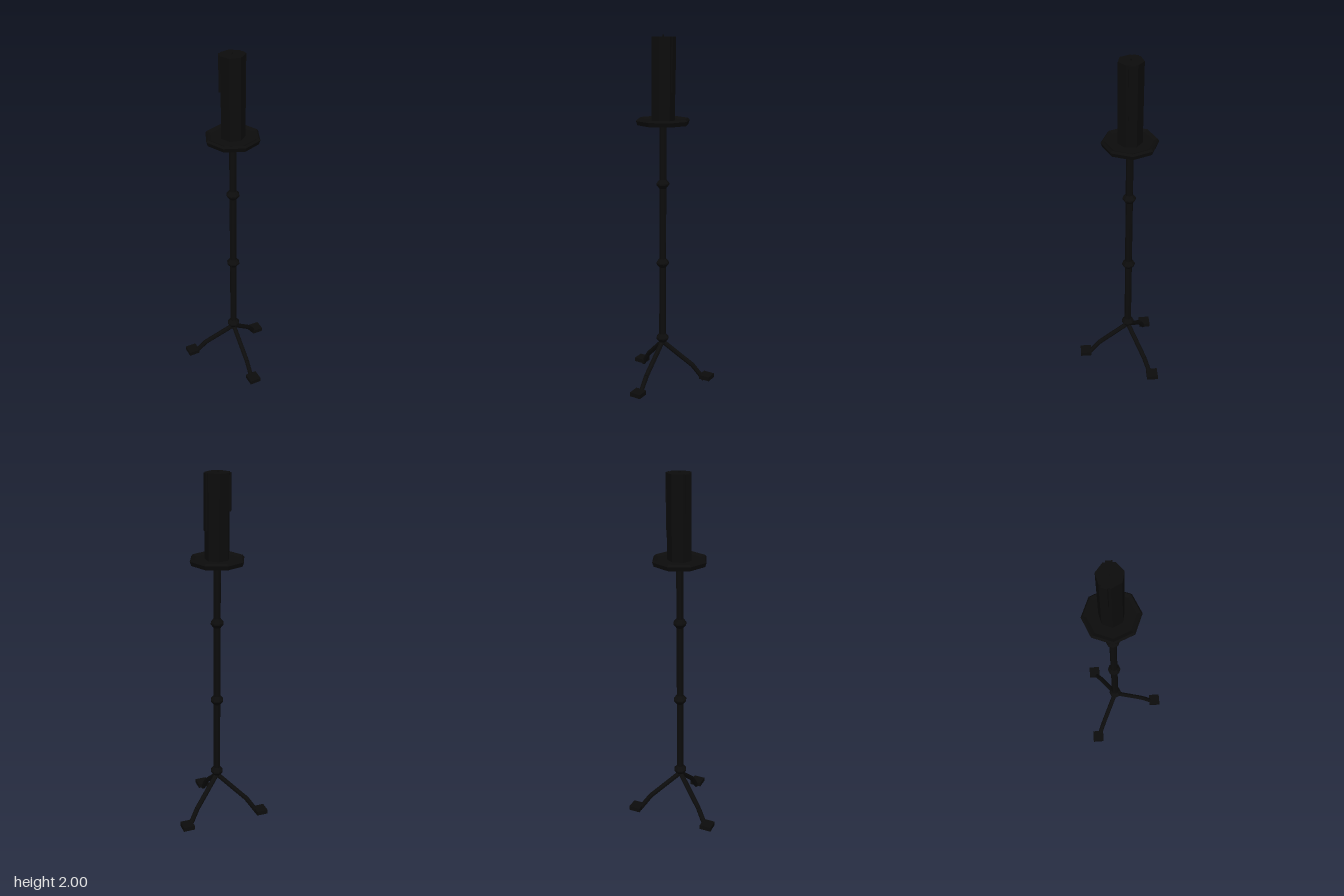
import * as THREE from 'three';

export function createModel() {
  const group = new THREE.Group();
  group.name = 'candleStand';
  const black = new THREE.MeshStandardMaterial({ color: 0x0c0c0c, flatShading: true });
  black.name = 'black';
  const axisZ = -0.067; // the pole stands behind the centre of the bounds

  const add = (name, geometry, x, y, z) => {
    const mesh = new THREE.Mesh(geometry, black);
    mesh.name = name;
    mesh.position.set(x, y, z);
    group.add(mesh);
    return mesh;
  };
  const lathe = (points, sides) =>
    new THREE.LatheGeometry(points.map(([r, y]) => new THREE.Vector2(r, y)), sides);
  const strut = (name, a, b, r) => {
    const dir = b.clone().sub(a);
    const mid = a.clone().add(b).multiplyScalar(0.5);
    const mesh = add(name, new THREE.CylinderGeometry(r, r, dir.length(), 8), mid.x, mid.y, mid.z);
    mesh.quaternion.setFromUnitVectors(new THREE.Vector3(0, 1, 0), dir.normalize());
  };

  // Pole with three faceted knobs
  add('pole', new THREE.CylinderGeometry(0.02, 0.02, 1.29, 8), 0, 0.885, axisZ);
  const knob = lathe([[0, -0.028], [0.018, -0.028], [0.037, -0.004], [0.037, 0.004], [0.018, 0.028], [0, 0.028]], 8);
  for (const y of [0.275, 0.735, 1.195]) add('knob', knob, 0, y, axisZ);

  // Three bent legs on square feet
  for (const [fx, fz] of [[0, 0.197], [0.227, -0.198], [-0.227, -0.198]]) {
    const dir = new THREE.Vector3(fx, 0, fz - axisZ).normalize();
    const at = (r, y) => new THREE.Vector3(dir.x * r, y, axisZ + dir.z * r);
    const path = [at(0, 0.25), at(0.178, 0.1), at(0.246, 0.011)];
    strut('upperLeg', path[0], path[1], 0.014);
    strut('lowerLeg', path[1], path[2], 0.014);
    add('foot', new THREE.BoxGeometry(0.066, 0.025, 0.066), fx, 0.03, fz);
  }

  // Octagonal drip tray with a raised rim
  add('tray', lathe([[0, 1.525], [0.143, 1.525], [0.151, 1.548], [0.142, 1.559], [0.122, 1.55], [0, 1.547]], 8), 0, 0, axisZ);

  // Seven-sided candle with a corner towards -x, and its wick
  add('candle', new THREE.CylinderGeometry(0.066, 0.066, 0.45, 7, 1, false, -Math.PI / 2), 0, 1.767, axisZ);
  add('wick', new THREE.CylinderGeometry(0.004, 0.004, 0.02, 6), 0, 1.99, axisZ);

  // Wax runs lying on two of the candle's faces
  for (const [turn, length] of [[0, 0.29], [6 * Math.PI / 7, 0.19]]) {
    const r = 0.0625;
    const run = add('waxRun', new THREE.BoxGeometry(0.013, length, 0.032),
      r * Math.cos(turn), 1.991 - length / 2, axisZ - r * Math.sin(turn));
    run.rotation.y = turn;
  }
  return group;
}
